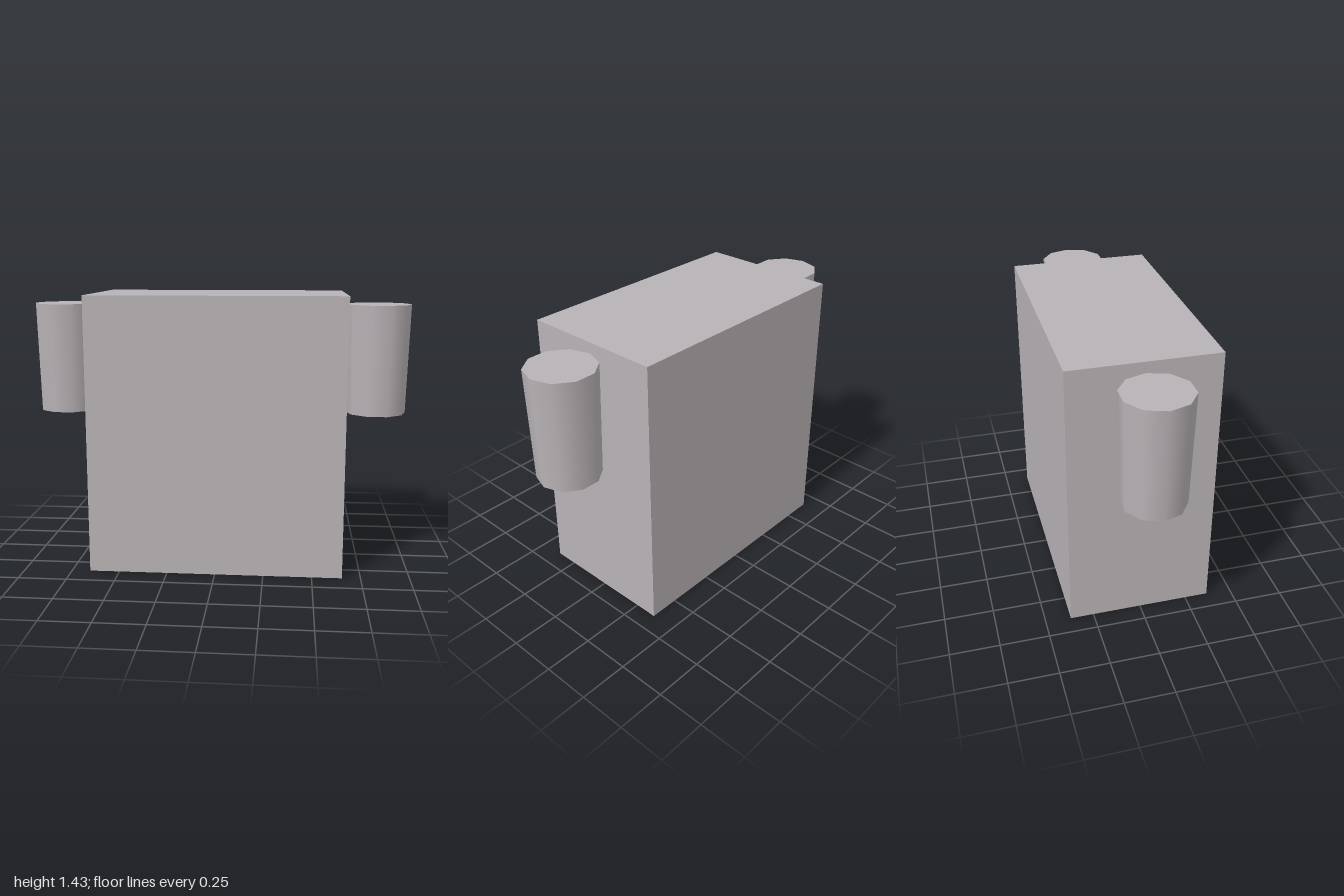
import * as THREE from 'three';

export function createModel() {
  const model = new THREE.Group();
  const grey = new THREE.MeshStandardMaterial({ color: 0xb8b2b5 });
  grey.name = 'warm grey';

  // Main block
  const body = new THREE.Mesh(new THREE.BoxGeometry(1.31, 1.43, 0.74), grey);
  body.name = 'body';
  body.position.y = 0.715;
  model.add(body);

  // Tapered ten-sided sleeves, one corner pointing outwards along x
  const sleeveShape = new THREE.CylinderGeometry(0.1725, 0.158, 0.572, 10, 1, false, Math.PI / 2);
  for (const side of [1, -1]) {
    const sleeve = new THREE.Mesh(sleeveShape, grey);
    sleeve.name = side > 0 ? 'leftSleeve' : 'rightSleeve';
    sleeve.position.set(side * 0.8275, 1.088, 0);
    model.add(sleeve);
  }
  return model;
}
